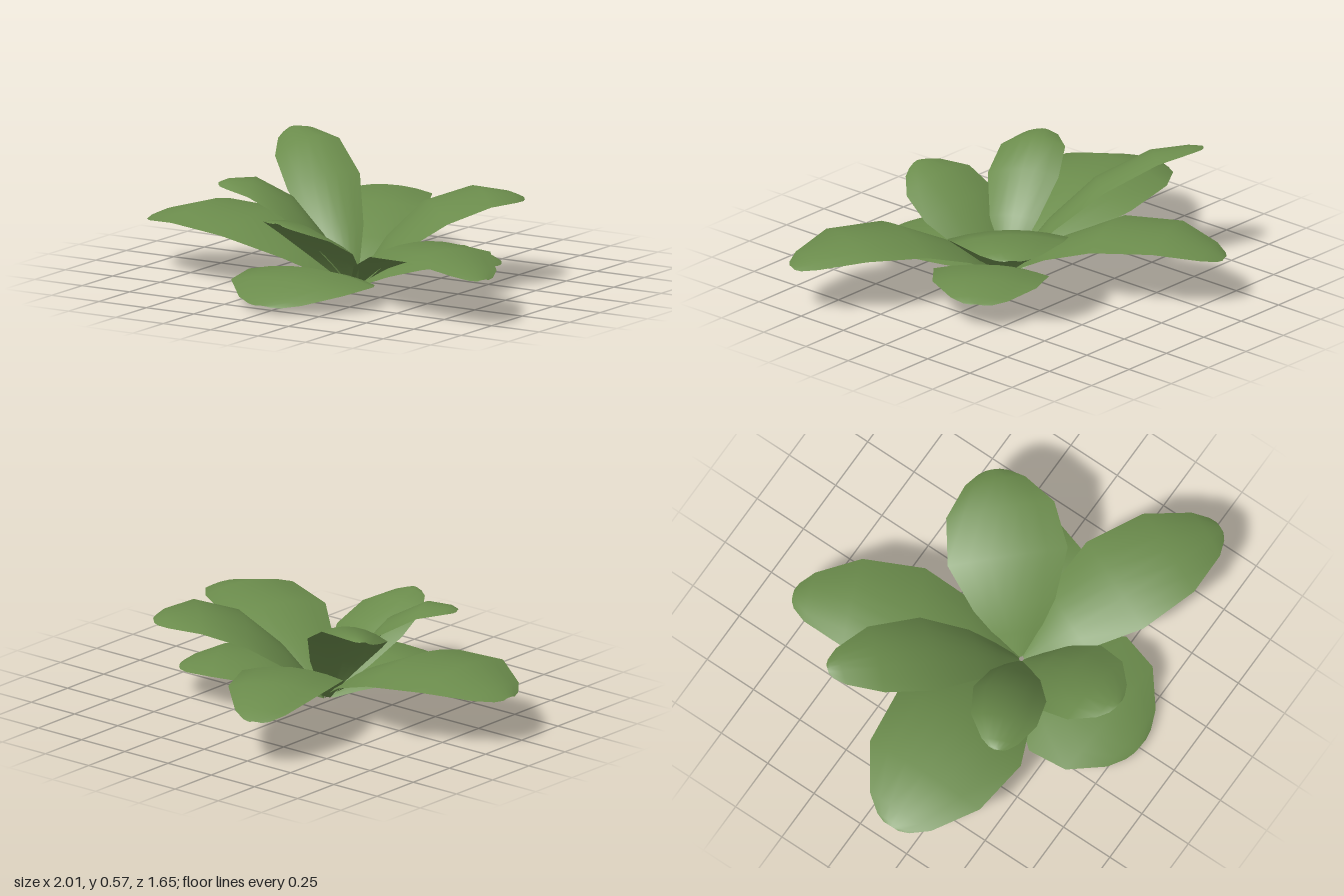
import * as THREE from 'three';

// Shared outline: [fraction along the leaf, fraction of the half width]
const OUTLINE = [[0, 0.1], [0.1, 0.38], [0.22, 0.68], [0.46, 1], [0.74, 0.9], [0.93, 0.5], [0.985, 0.26], [1, 0.12]];
const CROWN = new THREE.Vector3(0.045, 0.012, 0.145);
const CROWN_RADIUS = 0.01;
const ACROSS = 6;

// One blade: rises from the crown with a starting slope, then droops to its tip
function leafGeometry({ tip, rise, half, arch, roll = 0 }) {
  const rows = OUTLINE.length - 1;
  const geo = new THREE.PlaneGeometry(2, 1, ACROSS, rows);
  const pos = geo.attributes.position;
  const end = new THREE.Vector3(...tip).sub(CROWN);
  const reach = Math.hypot(end.x, end.z);
  const length = reach - CROWN_RADIUS;
  const dx = end.x / reach, dz = end.z / reach;
  const bend = end.y - rise;
  for (let i = 0; i < pos.count; i++) {
    const [t, w] = OUTLINE[rows - Math.floor(i / (ACROSS + 1))];
    const u = (i % (ACROSS + 1)) / ACROSS * 2 - 1;
    const slope = (rise + 2 * bend * t) / length;
    const n = Math.hypot(1, slope);
    const side = u * half * w;
    // The edges fall away from the midrib, square to the blade; roll tilts one edge up
    const lift = roll * side - arch * half * w * u * u;
    const along = CROWN_RADIUS + length * t - lift * slope / n * 0.5;
    pos.setXYZ(i,
      CROWN.x + dx * along - dz * side,
      Math.max(0, CROWN.y + rise * t + bend * t * t + lift / n),
      CROWN.z + dz * along + dx * side);
  }
  geo.computeVertexNormals();
  return geo;
}

export function createModel() {
  const group = new THREE.Group();
  group.name = 'leafyPlant';
  const green = new THREE.MeshStandardMaterial({ color: 0x6b8c4c, side: THREE.DoubleSide });
  green.name = 'leafGreen';

  const leaves = {
    backLeaf: { tip: [-0.35, 0.23, -0.815], rise: 0.99, half: 0.235, arch: 0.16 },
    backRightTallLeaf: { tip: [-0.65, 0.565, -0.42], rise: 1.27, half: 0.165, arch: 0.3, roll: 0.22 },
    rightLeaf: { tip: [-1, 0.23, 0.165], rise: 0.98, half: 0.325, arch: 0.17 },
    frontRightTallLeaf: { tip: [-0.505, 0.47, 0.4], rise: 1.18, half: 0.165, arch: 0.28, roll: 0.08 },
    frontTallLeaf: { tip: [0, 0.39, 0.7], rise: 0.8, half: 0.21, arch: 0.22, roll: 0.12 },
    frontLowLeaf: { tip: [0, 0.04, 0.82], rise: 0.54, half: 0.345, arch: 0.13 },
    leftLeaf: { tip: [0.995, 0.225, 0.56], rise: 0.98, half: 0.24, arch: 0.17 },
    backLeftTallLeaf: { tip: [0.595, 0.39, -0.39], rise: 1.12, half: 0.27, arch: 0.15 },
    backLeftLowLeaf: { tip: [0.605, 0.13, -0.195], rise: 0.57, half: 0.26, arch: 0.13 },
  };
  for (const [name, spec] of Object.entries(leaves)) {
    const leaf = new THREE.Mesh(leafGeometry(spec), green);
    leaf.name = name;
    group.add(leaf);
  }
  return group;
}
